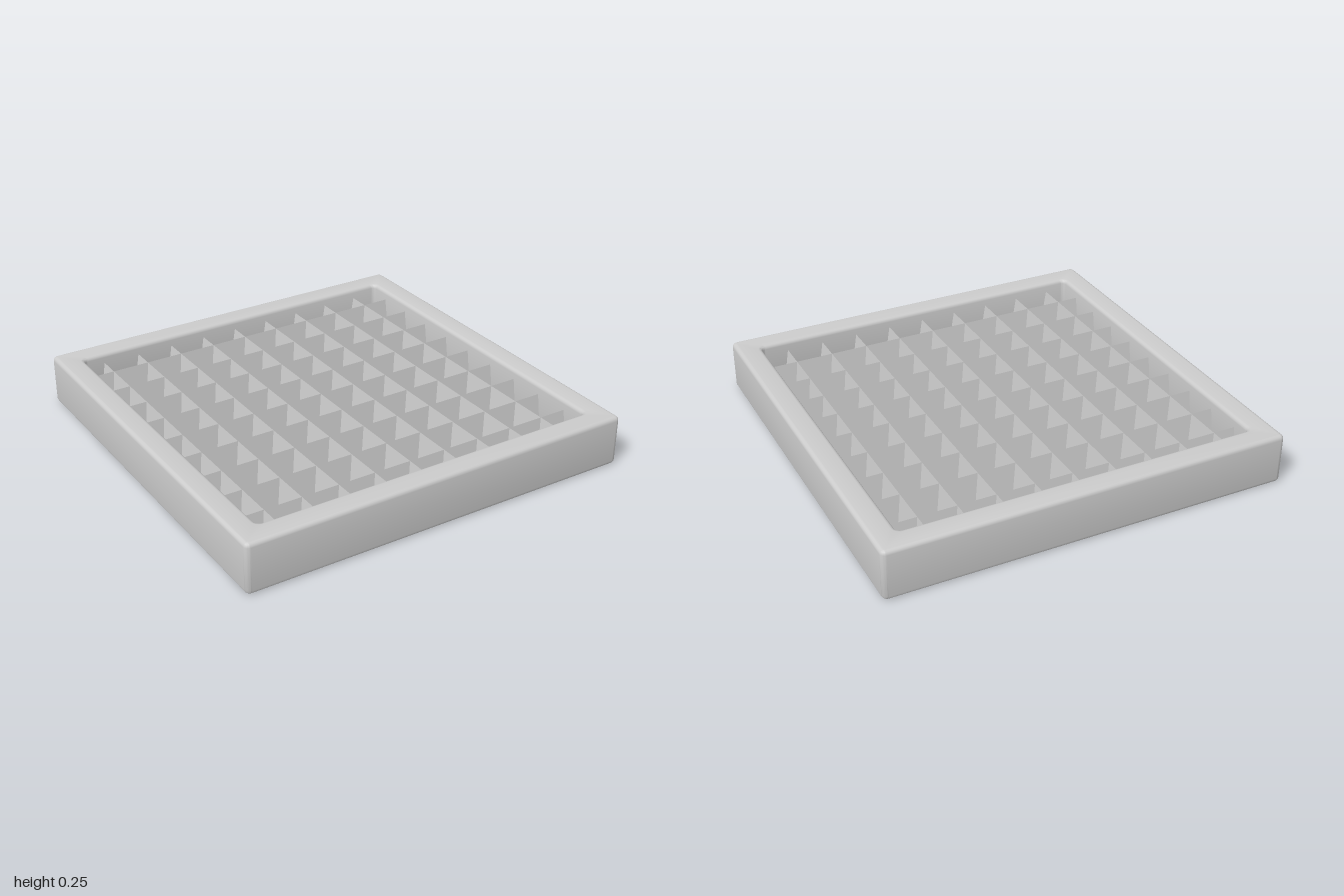
import * as THREE from 'three';
import { toCreasedNormals } from 'three/addons/utils/BufferGeometryUtils.js';

const HEIGHT = 0.25, BEVEL = 0.02;
const BAR_BOTTOM = 0.05, BAR_TOP = 0.2, BAR_HALF = 0.025, BAR_LENGTH = 1.78;
const BAR_COUNT = 9, BAR_STEP = 0.1885, BAR_OFFSET = -0.014;

// Square outline with rounded corners
function roundedSquare(path, half, r) {
  const c = half - r;
  path.moveTo(-c, -half);
  path.lineTo(c, -half);
  path.absarc(c, -c, r, -Math.PI / 2, 0);
  path.absarc(c, c, r, 0, Math.PI / 2);
  path.absarc(-c, c, r, Math.PI / 2, Math.PI);
  path.absarc(-c, -c, r, Math.PI, Math.PI * 1.5);
  path.closePath();
  return path;
}

// Surrounding frame, softened on all its edges
function frameGeometry() {
  const shape = roundedSquare(new THREE.Shape(), 1 - BEVEL, 0.006);
  shape.holes.push(roundedSquare(new THREE.Path(), 0.88 + BEVEL, 0.045));
  const geo = new THREE.ExtrudeGeometry(shape, {
    depth: HEIGHT - 2 * BEVEL,
    bevelEnabled: true, bevelSize: BEVEL, bevelThickness: BEVEL,
    bevelSegments: 4, curveSegments: 4,
  });
  geo.rotateX(-Math.PI / 2);
  geo.translate(0, BEVEL, 0);
  return toCreasedNormals(geo, 0.6);
}

// Wedge-shaped bar running along z, sharp edge upwards
function barGeometry() {
  const section = new THREE.Shape([
    new THREE.Vector2(-BAR_HALF, BAR_BOTTOM),
    new THREE.Vector2(BAR_HALF, BAR_BOTTOM),
    new THREE.Vector2(0, BAR_TOP),
  ]);
  const geo = new THREE.ExtrudeGeometry(section, { depth: BAR_LENGTH, bevelEnabled: false });
  return geo.translate(0, 0, -BAR_LENGTH / 2);
}

export function createModel() {
  const model = new THREE.Group();
  model.name = 'louverPanel';
  const smooth = new THREE.MeshStandardMaterial({ color: 0xcccccc });
  const flat = new THREE.MeshStandardMaterial({ color: 0xcccccc, flatShading: true });

  const frame = new THREE.Mesh(frameGeometry(), smooth);
  frame.name = 'frame';
  model.add(frame);

  // Crossing bars of the grid
  const grid = new THREE.Group();
  grid.name = 'grid';
  const bar = barGeometry();
  for (let i = 0; i < BAR_COUNT; i++) {
    const p = BAR_OFFSET + (i - (BAR_COUNT - 1) / 2) * BAR_STEP;
    const lengthBar = new THREE.Mesh(bar, flat);
    lengthBar.name = `lengthBar${i + 1}`;
    lengthBar.position.x = p;
    const crossBar = new THREE.Mesh(bar, flat);
    crossBar.name = `crossBar${i + 1}`;
    crossBar.rotation.y = Math.PI / 2;
    crossBar.position.z = p;
    grid.add(lengthBar, crossBar);
  }
  model.add(grid);
  return model;
}
